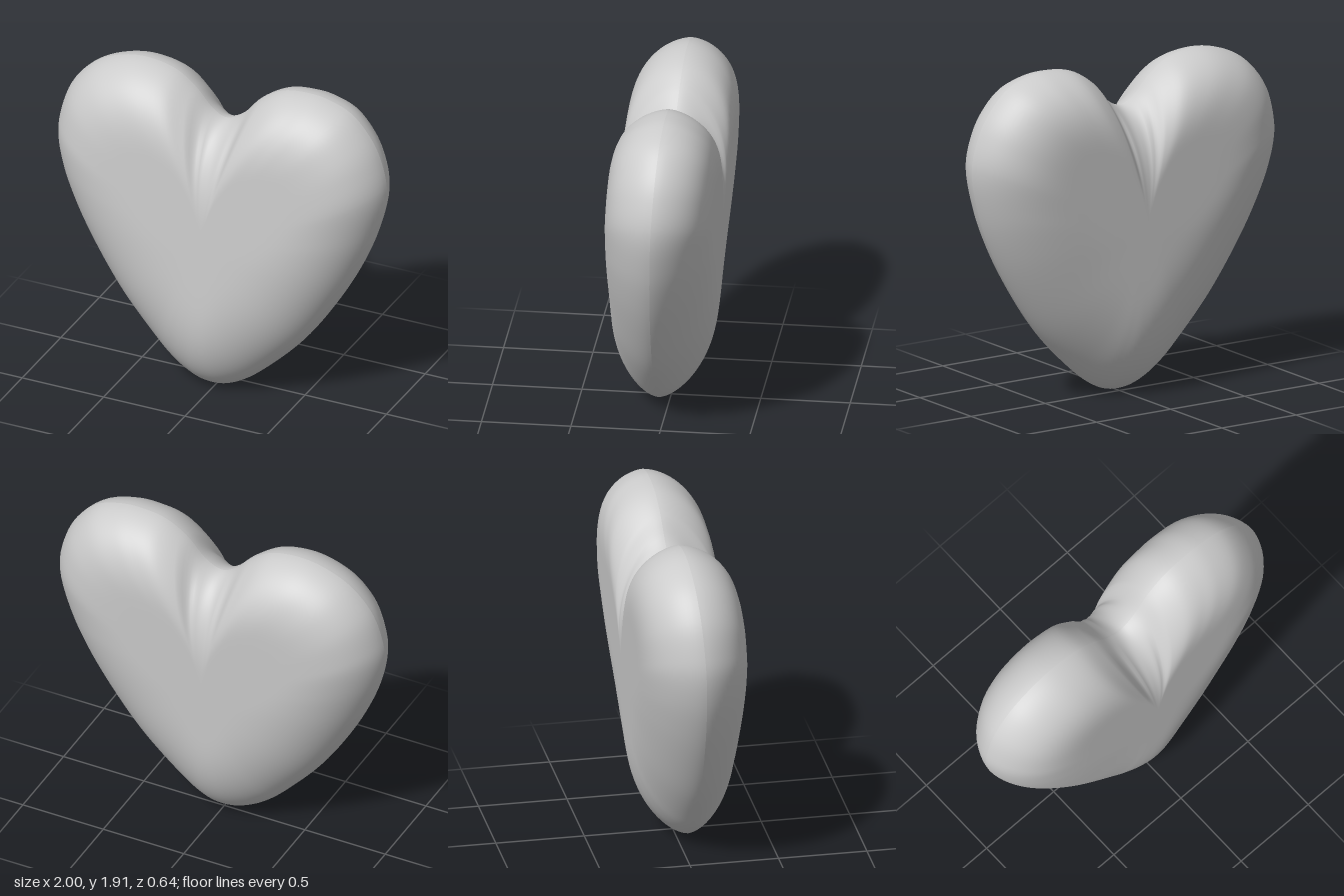
import * as THREE from 'three';

// Heart outline, counter-clockwise seen from the front
const OUTLINE = [
  [1, 1.41], [0.96, 1.6], [0.89, 1.73], [0.77, 1.85], [0.62, 1.905], [0.505, 1.915], [0.355, 1.895],
  [0.22, 1.815], [0.105, 1.69], [0.01, 1.645], [-0.07, 1.68], [-0.18, 1.79], [-0.31, 1.875],
  [-0.5, 1.905], [-0.66, 1.875], [-0.805, 1.8], [-0.93, 1.655], [-0.99, 1.475], [-1, 1.355],
  [-0.965, 1.17], [-0.875, 0.94], [-0.74, 0.69], [-0.58, 0.45], [-0.39, 0.23], [-0.285, 0.125],
  [-0.18, 0.05], [-0.07, 0.006], [0.05, 0.006], [0.17, 0.06], [0.33, 0.19], [0.515, 0.38],
  [0.675, 0.6], [0.835, 0.875], [0.945, 1.14],
];
const CENTRE = new THREE.Vector3(0, 1, 0);
const SEGMENTS = 180;
const RINGS = 32;

// Rounded cushion profile: half thickness at a distance from the seam
function halfThickness(distance) {
  const t = Math.min(distance / 0.6, 1);
  return 0.3 * Math.pow(1 - Math.pow(1 - t, 3), 0.6);
}

// The seam plane leans slightly backwards
const seamZ = (y) => 0.06 - 0.047 * y;

// One half of the cushion: rings shrinking from the seam to the centre
function halfGeometry(curve, side) {
  const positions = [];
  const indices = [];
  for (let r = 0; r <= RINGS; r++) {
    const inset = Math.pow(r / RINGS, 1.8);
    for (let i = 0; i < SEGMENTS; i++) {
      const edge = curve.getPoint(i / SEGMENTS);
      const tangent = curve.getTangent(i / SEGMENTS);
      const spoke = edge.clone().sub(CENTRE);
      const reach = spoke.length();
      const dir = spoke.clone().normalize();
      // Slope follows the true distance to the edge, softer at the tip and the notch
      const facing = Math.abs(dir.x * tangent.y - dir.y * tangent.x);
      const notch = dir.y > 0 ? 1 - 0.35 * Math.exp(-Math.pow(dir.x / 0.15, 2)) : 1;
      const steepness = facing * (1 + 0.3 * dir.y) * notch;
      const distance = inset * reach * THREE.MathUtils.lerp(steepness, 1, inset);
      const x = edge.x - spoke.x * inset;
      const y = edge.y - spoke.y * inset;
      positions.push(x, y, seamZ(y) + side * halfThickness(distance));

      if (r < RINGS) {
        const next = (i + 1) % SEGMENTS;
        const a = r * SEGMENTS + i, b = r * SEGMENTS + next;
        const c = a + SEGMENTS, d = b + SEGMENTS;
        if (side > 0) indices.push(a, b, d, a, d, c);
        else indices.push(a, d, b, a, c, d);
      }
    }
  }
  const geometry = new THREE.BufferGeometry();
  geometry.setAttribute('position', new THREE.Float32BufferAttribute(positions, 3));
  geometry.setIndex(indices);
  geometry.computeVertexNormals();
  return geometry;
}

export function createModel() {
  const group = new THREE.Group();
  group.name = 'heart';
  const material = new THREE.MeshStandardMaterial({ color: 0xcccccc });
  const curve = new THREE.CatmullRomCurve3(
    OUTLINE.map(([x, y]) => new THREE.Vector3(x, y, 0)), true, 'centripetal');

  // Front and back halves meet at a sharp seam
  for (const [name, side] of [['frontHalf', 1], ['backHalf', -1]]) {
    const mesh = new THREE.Mesh(halfGeometry(curve, side), material);
    mesh.name = name;
    group.add(mesh);
  }
  return group;
}
